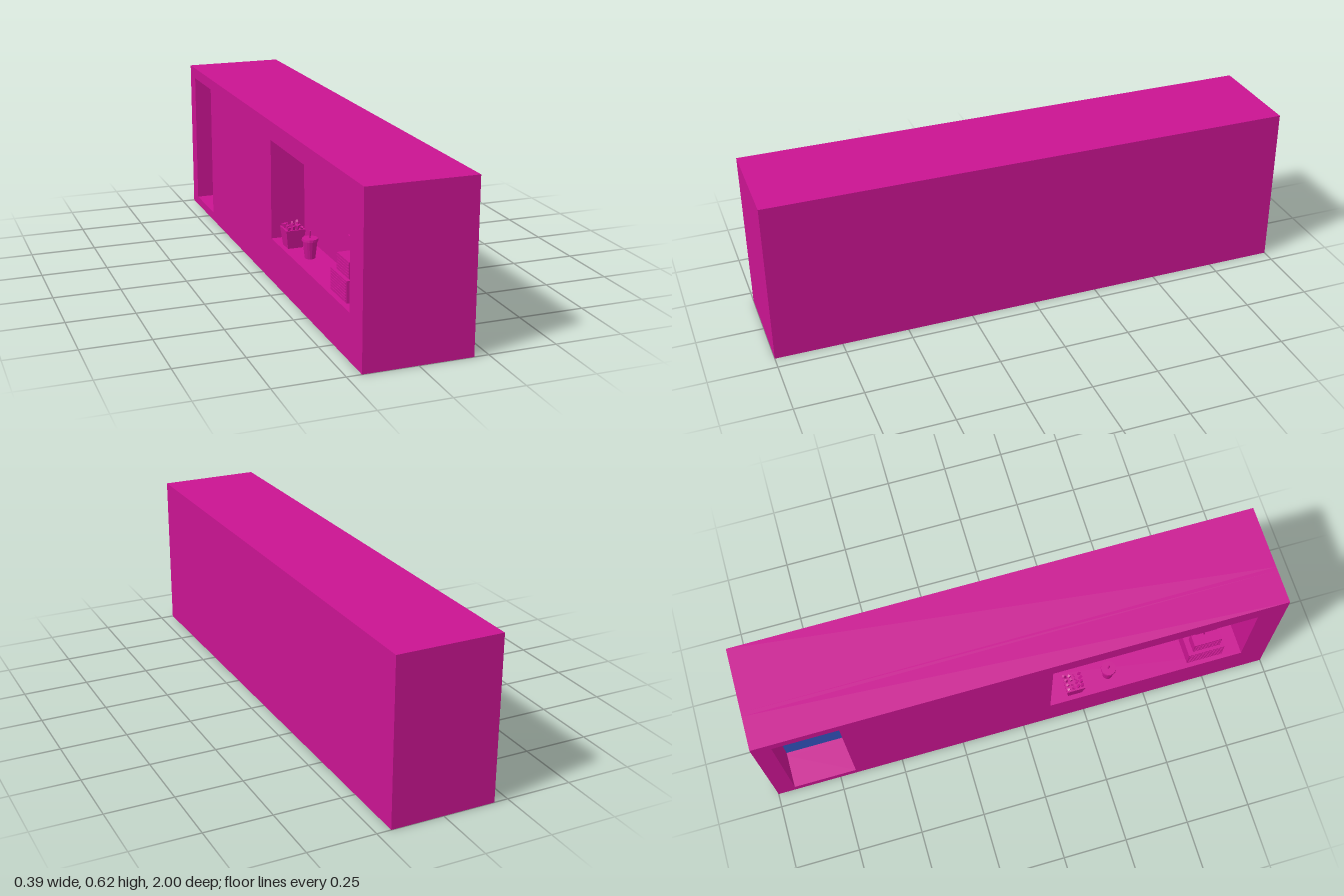
import * as THREE from 'three';

const PINK = 0xc91491, BLUE = 0x3352bb;
const W = 0.197, H = 0.617, FLOOR = 0.168;
const DOOR = [-0.93, -0.685, 0.035, 0.573];   // z0, z1, y0, y1
const WINDOW = [0.106, 0.89, FLOOR, 0.546];

export function createModel() {
  const root = new THREE.Group();
  const pink = new THREE.MeshStandardMaterial({ color: PINK, flatShading: true });
  const blue = new THREE.MeshStandardMaterial({ color: BLUE, flatShading: true });

  function add(parent, name, geo, mat = pink) {
    const m = new THREE.Mesh(geo, mat);
    m.name = name;
    parent.add(m);
    return m;
  }
  // Box given by its limits on each axis
  function box(parent, name, x0, x1, y0, y1, z0, z1, mat = pink) {
    const g = new THREE.BoxGeometry(x1 - x0, y1 - y0, z1 - z0);
    g.translate((x0 + x1) / 2, (y0 + y1) / 2, (z0 + z1) / 2);
    return add(parent, name, g, mat);
  }
  function group(name, x, y, z) {
    const g = new THREE.Group();
    g.name = name;
    g.position.set(x, y, z);
    root.add(g);
    return g;
  }
  const rect = (P, [z0, z1, y0, y1]) => new P([
    [z0, y0], [z1, y0], [z1, y1], [z0, y1]].map(p => new THREE.Vector2(...p)));
  // Upright wall layer from x0 to x1 with rectangular openings
  function layer(name, x0, x1, holes) {
    const s = rect(THREE.Shape, [-1, 1, 0, H]);
    s.holes = holes.map(h => rect(THREE.Path, h));
    const g = new THREE.ExtrudeGeometry(s, { depth: x1 - x0, bevelEnabled: false });
    g.rotateY(-Math.PI / 2);
    g.translate(x1, 0, 0);
    add(root, name, g);
  }

  // Building: the serving window and door are recesses in the right side
  const windowBack = -W + 0.13, doorBack = -W + 0.145;
  layer('openingWall', -W, windowBack, [DOOR, WINDOW]);
  layer('doorWall', windowBack, doorBack, [DOOR]);
  layer('buildingBody', doorBack, W, []);
  box(root, 'door', doorBack - 0.002, doorBack + 0.004, DOOR[2], DOOR[3], DOOR[0], DOOR[1], blue);

  // Cash register
  const reg = group('cashRegister', -0.178, FLOOR, 0.671);
  box(reg, 'registerBase', 0, 0.1, 0, 0.077, 0, 0.144);
  box(reg, 'registerTop', 0.014, 0.066, 0.077, 0.135, 0.02, 0.13);
  for (let i = 0; i < 7; i++) {
    const y = 0.006 + i * 0.01;
    box(reg, 'drawerRib', -0.002, 0.001, y, y + 0.005, 0.003, 0.141);
  }
  for (let i = 0; i < 5; i++) {
    const y = 0.082 + i * 0.01;
    box(reg, 'keyRib', 0.012, 0.015, y, y + 0.005, 0.023, 0.127);
  }
  const pole = add(reg, 'displayPole', new THREE.CylinderGeometry(0.004, 0.004, 0.05, 8));
  pole.position.set(0.055, 0.155, 0.07);
  box(reg, 'display', 0.048, 0.06, 0.165, 0.195, 0.03, 0.115);

  // Drinking cup with lid and straw
  const cup = group('drinkCup', -0.136, FLOOR, 0.357);
  add(cup, 'cupBody', new THREE.CylinderGeometry(0.027, 0.019, 0.068, 16)).position.y = 0.034;
  add(cup, 'cupLid', new THREE.CylinderGeometry(0.029, 0.03, 0.008, 16)).position.y = 0.07;
  const straw = add(cup, 'straw', new THREE.CylinderGeometry(0.003, 0.003, 0.03, 8));
  straw.position.set(0, 0.087, 0);
  straw.rotation.x = 0.1;

  // Flared carton filled with sticks
  const carton = group('snackCarton', -0.15, FLOOR, 0.212);
  const body = new THREE.CylinderGeometry(0.052, 0.04, 0.07, 4);
  body.rotateY(Math.PI / 4);
  body.translate(0, 0.035, 0);
  add(carton, 'cartonBody', body);
  for (let i = 0; i < 4; i++) for (let j = 0; j < 4; j++) {
    const h = 0.026 + 0.014 * ((i * 5 + j * 3) % 4) / 3;
    const stick = add(carton, 'snackStick', new THREE.BoxGeometry(0.009, h, 0.009));
    stick.position.set((i - 1.5) * 0.017, 0.068, (j - 1.5) * 0.017);
    stick.rotation.set((j - 1.5) * 0.16, i * 0.4 + j, (1.5 - i) * 0.16);
  }
  return root;
}
